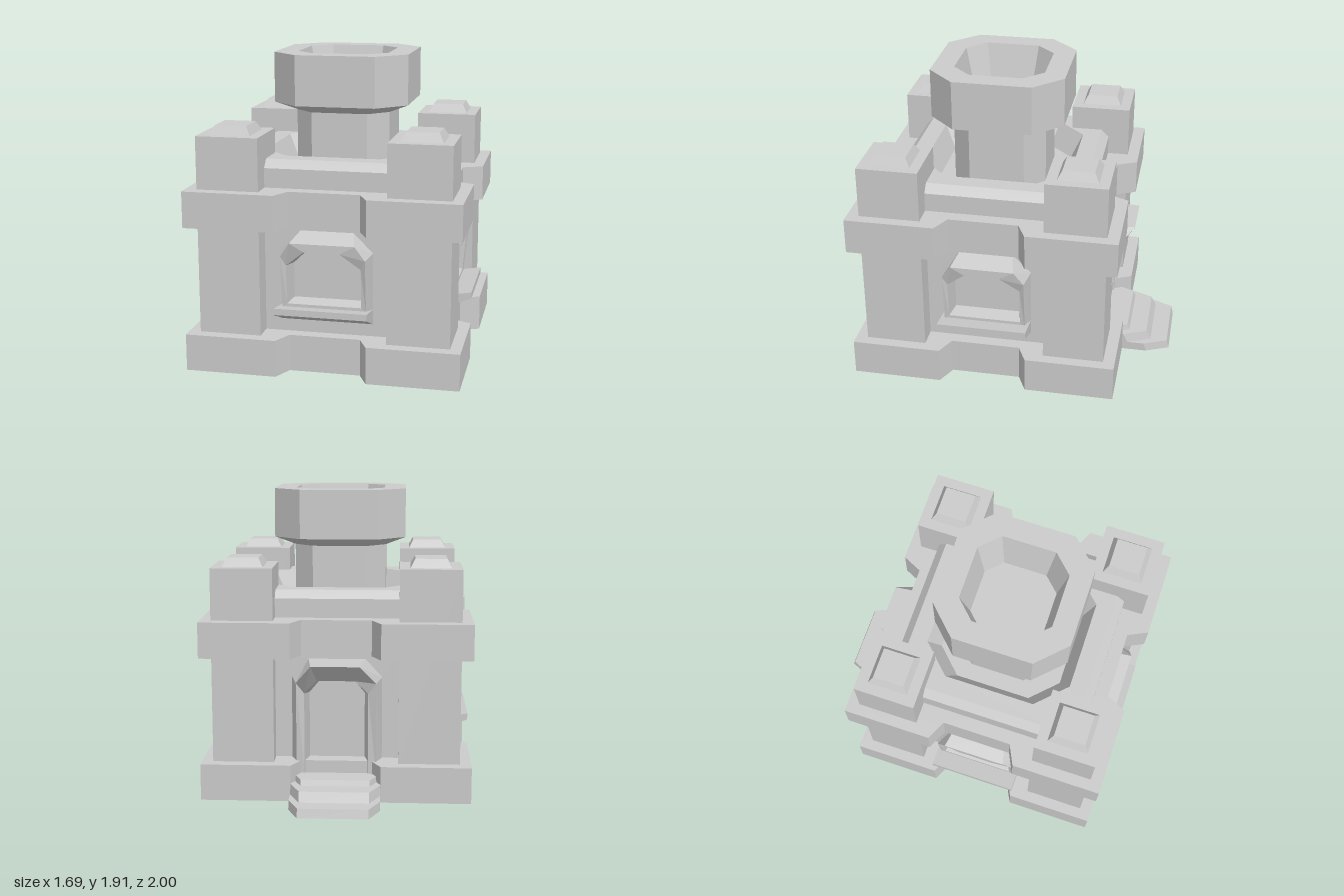
import * as THREE from 'three';

const material = new THREE.MeshStandardMaterial({
  color: 0xcccccc, flatShading: true, side: THREE.DoubleSide,
});

function add(parent, name, geometry, x = 0, y = 0, z = 0) {
  const mesh = new THREE.Mesh(geometry, material);
  mesh.name = name;
  mesh.position.set(x, y, z);
  parent.add(mesh);
  return mesh;
}

// Joins a stack of equal-length loops with quads and can close the last loop
function loft(loops, cap = true) {
  const pos = [];
  const n = loops[0].length;
  for (let i = 0; i < loops.length - 1; i++) {
    for (let j = 0; j < n; j++) {
      const k = (j + 1) % n;
      const a = loops[i][j], b = loops[i][k], c = loops[i + 1][k], d = loops[i + 1][j];
      pos.push(...a, ...b, ...c, ...a, ...c, ...d);
    }
  }
  const last = loops[loops.length - 1];
  if (cap) for (let j = 1; j < n - 1; j++) pos.push(...last[0], ...last[j], ...last[j + 1]);
  const g = new THREE.BufferGeometry();
  g.setAttribute('position', new THREE.Float32BufferAttribute(pos, 3));
  g.computeVertexNormals();
  return g;
}

// Flat outlines
const square = (h) => [[h, -h], [h, h], [-h, h], [-h, -h]];
const octagon = (h, f) => [[h, -f], [h, f], [f, h], [-f, h], [-h, f], [-h, -f], [-f, -h], [f, -h]];
const arch = (w, y0, ys, wt, yt) => [[-w, y0], [w, y0], [w, ys], [wt, yt], [-wt, yt], [-w, ys]];
const level = (pts, y) => pts.map(([x, v]) => [x, y, -v]);
const toShape = (pts) => new THREE.Shape(pts.map(([x, y]) => new THREE.Vector2(x, y)));

function withHole(outer, hole) {
  const shape = toShape(outer);
  shape.holes.push(toShape(hole));
  return shape;
}

// Square band outline with a tapered notch in the middle of each side
function bandOutline() {
  const side = [[0.845, -0.845], [0.845, -0.28], [0.72, -0.22], [0.72, 0.22], [0.845, 0.28]];
  const pts = [];
  let quarter = side;
  for (let i = 0; i < 4; i++) {
    pts.push(...quarter);
    quarter = quarter.map(([x, y]) => [-y, x]);
  }
  return pts;
}

// Wall with an arched recess; depths are for feet, shoulders and crown
function archedWall(parent, name, bottom, rings) {
  const loops = rings.map(({ outline, z }) =>
    outline.map(([x, y], i) => [x, y, z[[0, 0, 1, 2, 2, 1][i]]]));
  add(parent, name + 'Frame', loft(loops));
  const wall = [[-0.39, bottom], [0.39, bottom], [0.39, 0.91], [-0.39, 0.91]];
  add(parent, name + 'Wall', new THREE.ShapeGeometry(withHole(wall, rings[0].outline)), 0, 0, 0.64);
}

function windowSide() {
  const g = new THREE.Group();
  g.name = 'windowSide';
  archedWall(g, 'window', 0.23, [
    { outline: arch(0.285, 0.37, 0.755, 0.165, 0.875), z: [0.64, 0.64, 0.64] },
    { outline: arch(0.26, 0.4, 0.74, 0.2, 0.83), z: [0.73, 0.77, 0.79] },
    { outline: arch(0.23, 0.435, 0.68, 0.11, 0.78), z: [0.73, 0.75, 0.79] },
    { outline: arch(0.208, 0.45, 0.67, 0.1, 0.775), z: [0.63, 0.63, 0.63] },
  ]);
  // Sloping sill
  const profile = toShape([[0.635, 0.305], [0.845, 0.395], [0.845, 0.435], [0.635, 0.4]]);
  const sill = new THREE.ExtrudeGeometry(profile, { depth: 0.57, bevelEnabled: false });
  sill.rotateY(-Math.PI / 2);
  add(g, 'windowSill', sill, 0.285);
  return g;
}

function doorSide() {
  const g = new THREE.Group();
  g.name = 'doorSide';
  // The crown of the frame leans out as a pointed hood
  archedWall(g, 'door', 0.1, [
    { outline: arch(0.285, 0.14, 0.755, 0.18, 0.87), z: [0.64, 0.64, 0.64] },
    { outline: arch(0.25, 0.14, 0.74, 0.15, 0.87), z: [0.73, 0.765, 0.885] },
    { outline: arch(0.2, 0.145, 0.67, 0.12, 0.755), z: [0.73, 0.745, 0.765] },
    { outline: arch(0.175, 0.15, 0.65, 0.1, 0.74), z: [0.62, 0.62, 0.62] },
  ]);
  // Three steps with cut corners: front, bottom, top, slope
  const steps = [[1.155, 0, 0.055, 0.015], [1.03, 0.055, 0.115, 0.03], [0.885, 0.115, 0.15, 0.015]];
  const footprint = (f) => [[-0.28, 0.15 - f], [-0.215, -f], [0.215, -f], [0.28, 0.15 - f],
    [0.28, -0.6], [-0.28, -0.6]];
  add(g, 'doorSteps', loft(steps.flatMap(([f, y0, y1, slope]) => [
    level(footprint(f), y0), level(footprint(f - slope), y1)])));
  return g;
}

export function createModel() {
  const model = new THREE.Group();
  model.name = 'castleKeep';
  const keep = new THREE.Group();
  keep.name = 'keep';
  keep.position.z = 0.155;
  model.add(keep);

  // Base band, open underneath, with a ledge on top
  const outline = bandOutline();
  add(keep, 'baseBand', loft([level(outline, 0), level(outline, 0.23)], false));
  const ledge = new THREE.ShapeGeometry(withHole(outline, square(0.39)));
  add(keep, 'baseLedge', ledge.rotateX(-Math.PI / 2), 0, 0.23);

  // Upper band
  const band = new THREE.ExtrudeGeometry(toShape(outline), { depth: 0.225, bevelEnabled: false });
  add(keep, 'upperBand', band.rotateX(-Math.PI / 2), 0, 0.905);

  // Corner towers with bevelled caps
  for (const sx of [-1, 1]) {
    for (const sz of [-1, 1]) {
      const x = sx * 0.5825, z = sz * 0.5775;
      add(keep, 'cornerTower', new THREE.BoxGeometry(0.385, 1.225, 0.385), x, 0.8425, z);
      add(keep, 'cornerCap', loft([level(square(0.127), 1.455), level(square(0.098), 1.51)]), x, 0, z);
    }
  }

  // Three window sides and the door at the back
  for (let i = 0; i < 4; i++) {
    const side = i === 2 ? doorSide() : windowSide();
    side.rotation.y = i * Math.PI / 2;
    keep.add(side);
  }

  // Roof with chamfered edge and a sunken octagon around the turret
  add(keep, 'parapet', loft([
    level(square(0.635), 1.13), level(square(0.635), 1.25), level(square(0.585), 1.3)], false));
  const roof = new THREE.ShapeGeometry(withHole(square(0.585), octagon(0.473, 0.29)));
  add(keep, 'roof', roof.rotateX(-Math.PI / 2), 0, 1.3);
  add(keep, 'roofRecess', loft([
    level(octagon(0.473, 0.29), 1.3), level(octagon(0.4, 0.24), 1.15)]));

  // Turret: shaft, flared head and hollow top
  add(keep, 'turret', loft([
    level(octagon(0.297, 0.176), 1.15),
    level(octagon(0.297, 0.176), 1.545),
    level(octagon(0.424, 0.248), 1.6),
    level(octagon(0.424, 0.248), 1.913),
    level(octagon(0.287, 0.17), 1.913),
    level(octagon(0.232, 0.137), 1.66),
  ]));

  return model;
}
